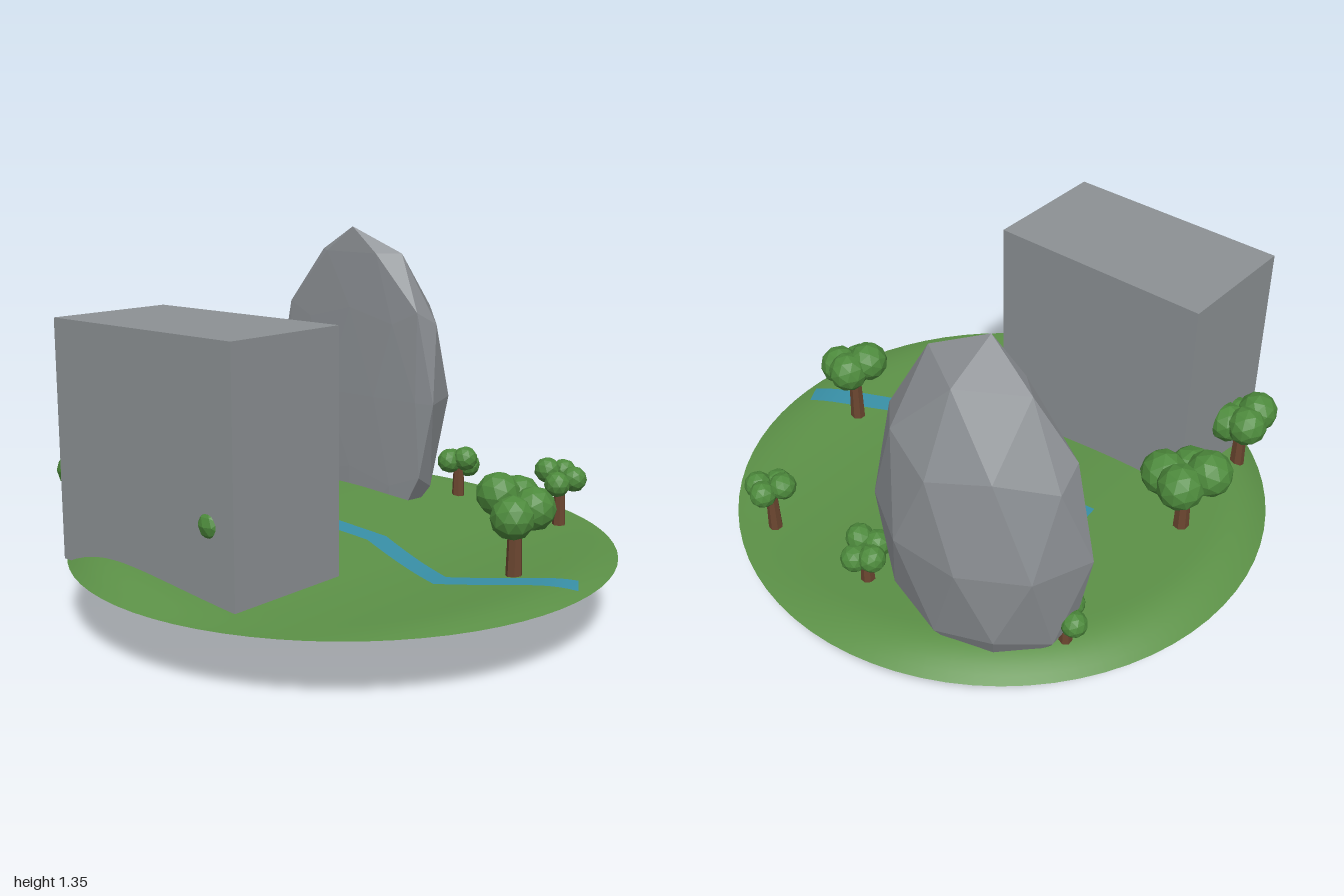
import * as THREE from 'three';
import { mergeVertices } from 'three/addons/utils/BufferGeometryUtils.js';

const mat = (name, color, extra = {}) => new THREE.MeshStandardMaterial({ name, color, ...extra });

// Height of the terrain: high at the back, low in front, falling to the rim
function groundY(x, z) {
  const { smoothstep, clamp } = THREE.MathUtils;
  const h = 0.07 * (1 - smoothstep(z, -0.45, 0.48)) + 0.025 * smoothstep(z, 0.5, 1);
  const t = clamp((1 - Math.hypot(x, z)) / 0.17, 0, 1);
  return 0.228 + h * t * (2 - t);
}

// Disc of grass moved by the height rule
function makeGround() {
  let geo = new THREE.RingGeometry(0, 1, 72, 36);
  geo.rotateX(-Math.PI / 2);
  const p = geo.attributes.position;
  for (let i = 0; i < p.count; i++) p.setY(i, groundY(p.getX(i), p.getZ(i)));
  geo.deleteAttribute('uv');
  geo.deleteAttribute('normal');
  geo = mergeVertices(geo, 1e-5);
  geo.computeVertexNormals();
  return geo;
}

// Stream: a strip between two banks, draped on the terrain
function makeStream() {
  const left = [[-0.04, -0.41], [0.01, 0.11], [-0.17, 0.55], [0.065, 0.965]];
  const right = [[0.05, -0.42], [0.095, 0.13], [-0.085, 0.54], [0.14, 0.92]];
  const pos = [], index = [], steps = 14;
  const mix = (a, b, t) => a.map((v, k) => v + (b[k] - v) * t);
  for (let s = 0; s < 3; s++) {
    for (let j = s ? 1 : 0; j <= steps; j++) {
      const a = mix(left[s], left[s + 1], j / steps), b = mix(right[s], right[s + 1], j / steps);
      for (const [x, z] of [a, mix(a, b, 0.5), b]) pos.push(x, groundY(x, z) + 0.004, z);
    }
  }
  for (let r = 0; r < pos.length / 9 - 1; r++) {
    for (let c = 0; c < 2; c++) {
      const a = r * 3 + c;
      index.push(a, a + 3, a + 1, a + 1, a + 3, a + 4);
    }
  }
  const geo = new THREE.BufferGeometry();
  geo.setAttribute('position', new THREE.Float32BufferAttribute(pos, 3));
  geo.setIndex(index);
  geo.computeVertexNormals();
  return geo;
}

// Faceted boulder with a corner at the top and one side pressed flat
function makeBoulder() {
  const g = (1 + Math.sqrt(5)) / 2;
  const up = new THREE.Vector3(-1, g, 0).normalize();
  const side = new THREE.Vector3(g, 1, 0).normalize();
  const turn = new THREE.Matrix4().makeBasis(side, up, new THREE.Vector3(0, 0, 1)).transpose();
  const geo = new THREE.IcosahedronGeometry(1, 1).applyMatrix4(turn);
  const p = geo.attributes.position;
  for (let i = 0; i < p.count; i++) {
    const x = p.getX(i);
    p.setXYZ(i, x * (x < 0 ? 0.022 : 0.35), p.getY(i) * 0.675, p.getZ(i) * 0.414);
  }
  geo.computeVertexNormals();
  return geo;
}

// Trees: trunk x and z, foot y, crown y, crown spread, ball radius, ball count, first ball angle
const trees = [
  [-0.18, -0.695, 0.28, 0.533, 0.08, 0.085, 4, -1.9],
  [0.07, 0.71, 0.23, 0.487, 0.06, 0.077, 4, -2],
  [0.726, 0.478, 0.228, 0.42, 0.052, 0.05, 4, -1.9],
  [0.72, 0, 0.255, 0.405, 0.045, 0.05, 4, 1.9],
  [0.515, -0.71, 0.25, 0.4, 0.043, 0.046, 3, 2.9],
  [-0.63, -0.65, 0.25, 0.49, 0.055, 0.075, 4, -2.4],
  [-0.74, 0.15, 0.235, 0.475, 0.038, 0.058, 3, Math.PI],
];

export function createModel() {
  const model = new THREE.Group();
  const grass = mat('grass green', 0x5c9147, { side: THREE.DoubleSide });
  const water = mat('stream blue', 0x388fa6, { side: THREE.DoubleSide });
  const concrete = mat('block grey', 0x8c9194);
  const stone = mat('boulder grey', 0x8b8f93, { flatShading: true });
  const bark = mat('bark brown', 0x6b4630, { flatShading: true });
  const leaf = mat('leaf green', 0x4d8a3c, { flatShading: true });

  const add = (parent, name, geo, material, x = 0, y = 0, z = 0) => {
    const mesh = new THREE.Mesh(geo, material);
    mesh.name = name;
    mesh.position.set(x, y, z);
    parent.add(mesh);
    return mesh;
  };

  add(model, 'ground', makeGround(), grass);
  add(model, 'stream', makeStream(), water);
  add(model, 'block', new THREE.BoxGeometry(0.49, 0.855, 0.86), concrete, -0.572, 0.665, -0.16);
  add(model, 'boulder', makeBoulder(), stone, 0.49, 0.675, -0.375);

  // Each tree is a tapered trunk under a ring of leaf balls, stepping down around the crown
  for (const [x, z, foot, crown, spread, radius, count, start] of trees) {
    const tree = new THREE.Group();
    tree.name = 'tree';
    const height = crown - foot, thick = 0.02 + 0.12 * radius;
    add(tree, 'trunk', new THREE.CylinderGeometry(thick * 0.75, thick, height, 7), bark, x, foot + height / 2, z);
    for (let i = 0; i < count; i++) {
      const angle = start + (i / count) * Math.PI * 2;
      const y = crown + 0.4 * radius * (1 - (2 * i) / (count - 1));
      const ball = add(tree, 'foliage', new THREE.IcosahedronGeometry(radius, 1), leaf,
        x + spread * Math.cos(angle), y, z + spread * Math.sin(angle));
      ball.rotation.y = i * 1.3;
    }
    model.add(tree);
  }
  return model;
}
